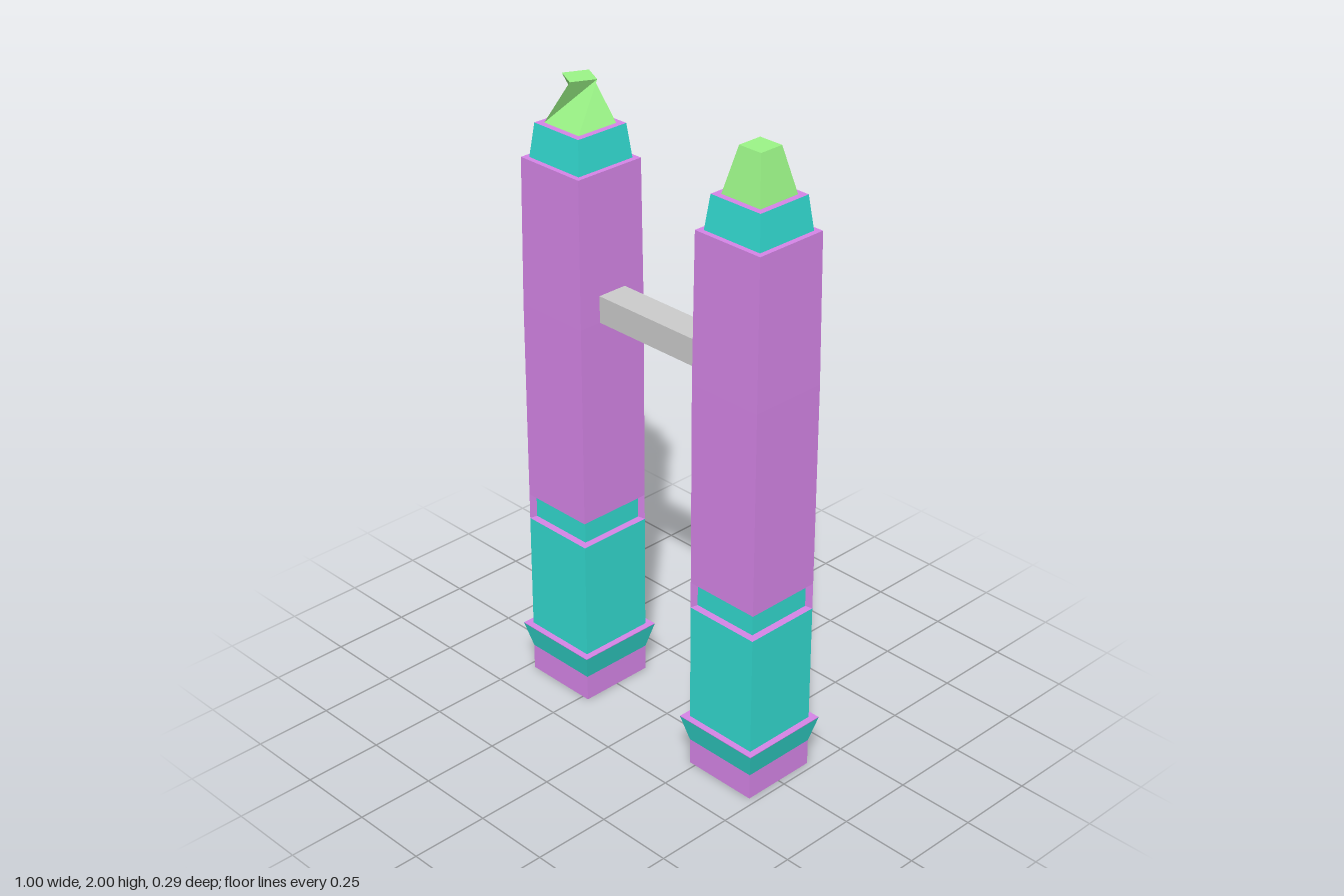
import * as THREE from 'three';

const mat = (color) => new THREE.MeshStandardMaterial({ color, flatShading: true, side: THREE.DoubleSide });
const purple = mat(0xd585e7), teal = mat(0x32d9cf), green = mat(0x9bf587), yellow = mat(0xd8e070), grey = mat(0xcccccc);
const H = 0.125; // half width of a tower

function add(parent, name, geometry, material) {
  const mesh = new THREE.Mesh(geometry, material);
  mesh.name = name;
  parent.add(mesh);
  return mesh;
}

// Square tapered block between two heights, with purple end caps
function block(parent, name, y0, y1, half0, half1, material, open = false) {
  const g = new THREE.CylinderGeometry(half1 * Math.SQRT2, half0 * Math.SQRT2, y1 - y0, 4, 1, open);
  g.rotateY(Math.PI / 4).translate(0, (y0 + y1) / 2, 0);
  return add(parent, name, g, [material, purple, purple]);
}

// Upright prism from a floor outline of [x, z] points
function prism(parent, name, y0, y1, outline, side) {
  const shape = new THREE.Shape(outline.map(([x, z]) => new THREE.Vector2(x, -z)));
  const g = new THREE.ExtrudeGeometry(shape, { depth: y1 - y0, bevelEnabled: false });
  g.rotateX(-Math.PI / 2).translate(0, y0, 0);
  return add(parent, name, g, [purple, side]);
}

// Four-sided spire whose top square is turned against its foot
function spireGeometry(y0, y1, half0, half1, twist) {
  const ring = (half, y, turn) => [0, 1, 2, 3].map((i) => {
    const a = Math.PI / 4 + i * Math.PI / 2 - turn;
    return [half * Math.SQRT2 * Math.cos(a), y, half * Math.SQRT2 * Math.sin(a)];
  });
  const b = ring(half0, y0, 0), t = ring(half1, y1, twist), p = [];
  for (let i = 0; i < 4; i++) {
    const j = (i + 1) % 4;
    p.push(b[j], b[i], t[i], b[j], t[i], t[j]);
  }
  p.push(t[3], t[2], t[1], t[3], t[1], t[0]);
  const g = new THREE.BufferGeometry();
  g.setAttribute('position', new THREE.Float32BufferAttribute(p.flat(), 3));
  g.computeVertexNormals();
  return g;
}

// Hollow foot, open below, with a recessed door in its back wall
function foot(parent) {
  const h = 0.085;
  for (let i = -1; i < 2; i++) {
    const g = new THREE.PlaneGeometry(2 * H, h);
    g.translate(0, h / 2, H).rotateY(i * Math.PI / 2);
    add(parent, 'footWall', g, purple);
  }
  const rect = (path, x, y0, y1) => path.moveTo(-x, y0).lineTo(x, y0).lineTo(x, y1).lineTo(-x, y1).closePath();
  const wall = rect(new THREE.Shape(), H, 0, h);
  wall.holes.push(rect(new THREE.Path(), 0.037, 0.006, 0.06));
  const g = new THREE.ExtrudeGeometry(wall, { depth: 0.012, bevelEnabled: false });
  add(parent, 'footBackWall', g.translate(0, 0, -H), purple);
  const door = new THREE.PlaneGeometry(0.074, 0.054);
  add(parent, 'door', door.rotateY(Math.PI).translate(0, 0.033, -H + 0.01), yellow);
}

function tower(twist) {
  const t = new THREE.Group();
  t.name = 'tower';
  foot(t);
  block(t, 'skirt', 0.085, 0.168, H, 0.146, teal, true);
  block(t, 'skirtLedge', 0.167, 0.17, 0.1455, 0.146, purple);
  block(t, 'lowerShaft', 0.17, 0.555, H, H, teal);

  // Neck: set back on the front and left, flush on the other two sides
  const n = 0.101, m = -0.12;
  prism(t, 'neckCore', 0.555, 0.64, [[m, m], [n, m], [n, n], [m, n]], teal);
  prism(t, 'neckWall', 0.555, 0.64, [[-H, H], [m, n], [m, m], [n, m], [H, -H], [-H, -H]], purple);

  block(t, 'mainShaft', 0.64, 1.29, H, H, purple);
  block(t, 'shaftTaper', 1.29, 1.755, H, 0.121, purple);

  // Bands wrapping the back and right sides with bevelled ends
  const o = -0.148, c = -0.128, k = 0.1, d = -0.11;
  const outline = [[-H, H], [o, k], [o, c], [c, o], [k, o], [H, -H], [k, d], [d, d], [d, k]];
  for (const y of [0.64, 1.205]) prism(t, 'band', y, y + 0.085, outline, teal);

  block(t, 'collar', 1.755, 1.86, 0.104, 0.092, teal);
  add(t, 'spire', spireGeometry(1.86, 2, 0.072, 0.04, twist), green);
  return t;
}

export function createModel() {
  const model = new THREE.Group();
  model.name = 'twinTowers';
  const right = tower(THREE.MathUtils.degToRad(64));
  const left = tower(0);
  right.position.x = -0.352;
  left.position.x = 0.352;
  right.name = 'rightTower';
  left.name = 'leftTower';
  model.add(right, left);
  add(model, 'bridge', new THREE.BoxGeometry(0.46, 0.085, 0.1), grey).position.y = 1.333;
  return model;
}
